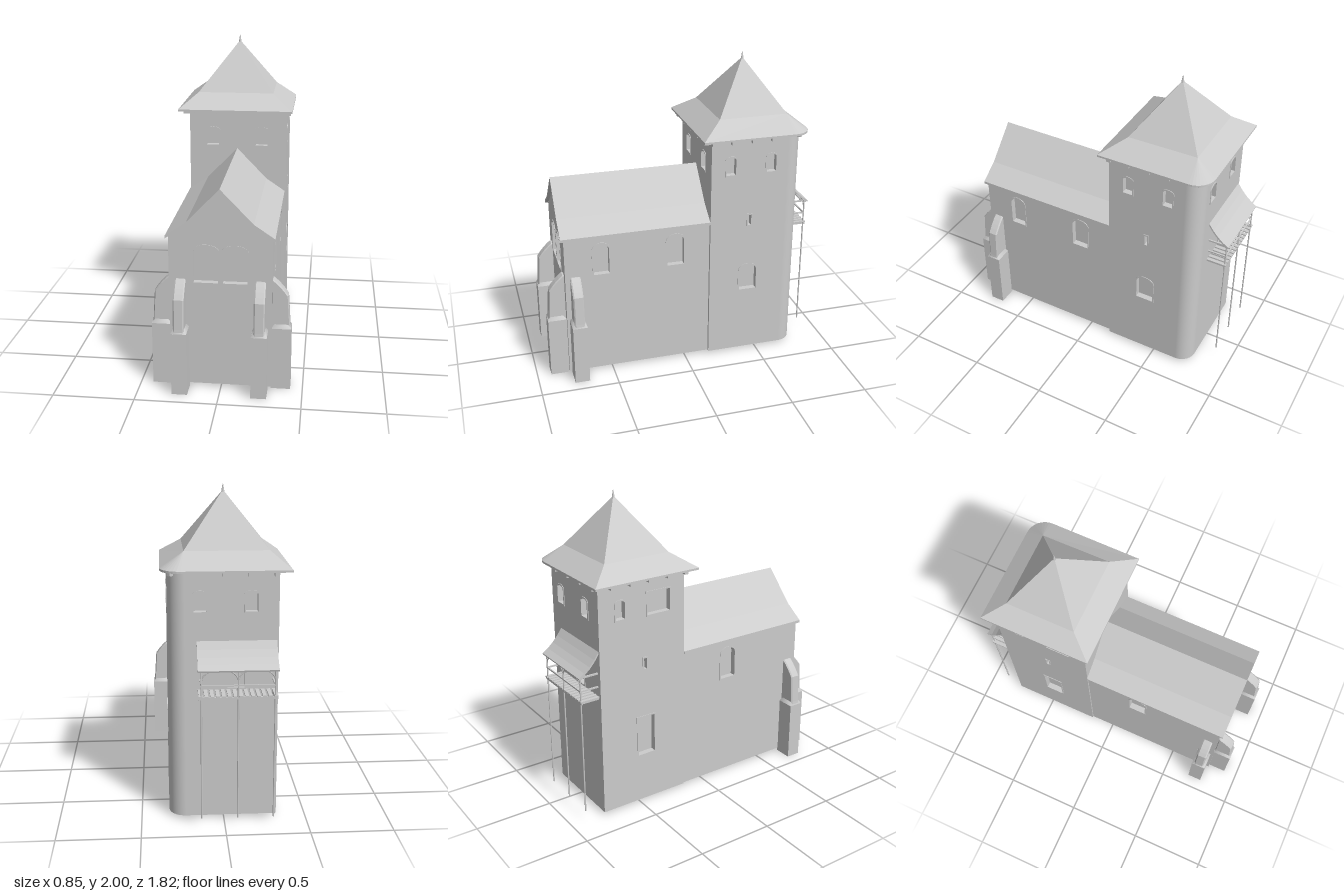
import * as THREE from 'three';

const mat = new THREE.MeshStandardMaterial({ color: 0xcccccc, side: THREE.DoubleSide });

function add(parent, name, geo, x = 0, y = 0, z = 0) {
  const m = new THREE.Mesh(geo, mat);
  m.name = name;
  m.position.set(x, y, z);
  parent.add(m);
  return m;
}
const box = (parent, name, w, h, d, x, y, z) => add(parent, name, new THREE.BoxGeometry(w, h, d), x, y, z);

// outline of an opening: straight sides with an arched (or flat) head
function opening(cls, u, v0, v1, w, rise, inset = 0) {
  const s = new cls(), h = w / 2 - inset, spring = v1 - rise;
  s.moveTo(u - h, v0 + inset);
  s.lineTo(u + h, v0 + inset);
  if (rise > 0) {
    s.lineTo(u + h, spring);
    s.absellipse(u, spring, h, rise - inset, 0, Math.PI, false, 0);
  } else {
    s.lineTo(u + h, v1 - inset);
    s.lineTo(u - h, v1 - inset);
  }
  s.closePath();
  return s;
}

// thin wall facing local +z, with framed, recessed openings [u, bottom, top, width, rise]
function wall(parent, name, points, openings, x, z, turn) {
  const g = new THREE.Group();
  g.name = name;
  g.position.set(x, 0, z);
  g.rotation.y = turn;
  parent.add(g);
  const shape = new THREE.Shape(points.map(p => new THREE.Vector2(...p)));
  for (const o of openings) {
    shape.holes.push(opening(THREE.Path, ...o));
    const frame = opening(THREE.Shape, ...o);
    frame.holes.push(opening(THREE.Path, ...o, 0.009));
    const geo = new THREE.ExtrudeGeometry(frame, { depth: 0.039, bevelEnabled: false, curveSegments: 8 });
    add(g, 'windowFrame', geo, 0, 0, -0.035);
    add(g, 'windowPane', new THREE.ShapeGeometry(opening(THREE.Shape, ...o), 8), 0, 0, -0.034);
  }
  add(g, 'wallFace', new THREE.ShapeGeometry(shape, 8));
}
const rect = (u0, u1, v0, v1) => [[u0, v0], [u1, v0], [u1, v1], [u0, v1]];

function addNave(root) {
  const g = new THREE.Group();
  g.name = 'nave';
  root.add(g);
  const gable = [[-0.31, 0.02], [0.31, 0.02], [0.31, 0.975], [0.19, 1.06], [0, 1.26], [-0.19, 1.06], [-0.31, 0.975]];
  wall(g, 'frontGable', gable, [[-0.088, 0.68, 0.93, 0.165, 0.045], [0.088, 0.68, 0.93, 0.165, 0.045]], 0, 0.79, 0);
  wall(g, 'leftWall', rect(-0.79, 0.16, 0.02, 0.98),
    [[-0.555, 0.7, 0.93, 0.12, 0.05], [-0.068, 0.7, 0.93, 0.13, 0.05]], 0.31, 0, Math.PI / 2);
  wall(g, 'rightWall', rect(-0.16, 0.79, 0.02, 0.98), [[0.2, 0.7, 0.93, 0.13, 0.05]], -0.31, 0, -Math.PI / 2);

  // gable roof with flared eaves
  const top = [[-0.325, 0.985], [-0.2, 1.07], [0, 1.278], [0.2, 1.07], [0.325, 0.985]];
  const under = top.map(([x, y]) => [x, y - 0.018]).reverse();
  const s = new THREE.Shape([...top, ...under].map(p => new THREE.Vector2(...p)));
  add(g, 'naveRoof', new THREE.ExtrudeGeometry(s, { depth: 0.97, bevelEnabled: false }), 0, 0, -0.16);
}

// two-stage buttress projecting along local +z from the wall plane
function addButtress(root, x, z, turn) {
  const g = new THREE.Group();
  g.name = 'buttress';
  g.position.set(x, 0, z);
  g.rotation.y = turn;
  root.add(g);
  box(g, 'buttressBase', 0.095, 0.4, 0.12, 0, 0.2, 0.06);
  const s = new THREE.Shape();
  s.moveTo(0, 0.4);
  s.lineTo(0.115, 0.4);
  s.lineTo(0.112, 0.425);
  s.lineTo(0.1, 0.61);
  s.quadraticCurveTo(0.06, 0.67, 0.01, 0.71);
  s.lineTo(0, 0.71);
  const geo = new THREE.ExtrudeGeometry(s, { depth: 0.05, bevelThickness: 0.008, bevelSize: 0.006, bevelOffset: -0.006, bevelSegments: 1, curveSegments: 4 });
  add(g, 'buttressUpper', geo, 0.025, 0, 0).rotation.y = -Math.PI / 2;
  // sloped shoulder between the stages
  const shoulder = new THREE.CylinderGeometry(0.046, 0.067, 0.025, 4, 1, true, Math.PI / 4);
  add(g, 'buttressShoulder', shoulder.toNonIndexed(), 0, 0.4125, 0.06).scale.z = 1.25;
  shoulder.computeVertexNormals();
}

function addTower(root) {
  const g = new THREE.Group();
  g.name = 'tower';
  root.add(g);
  const [y0, y1] = [0.02, 1.54];
  const upper = (a, b, w) => [[a, 1.29, 1.425, w, 0.025], [b, 1.29, 1.425, w, 0.025]];
  wall(g, 'frontWall', rect(-0.32, 0.33, y0, y1), upper(-0.165, 0.165, 0.1), 0, -0.16, 0);
  wall(g, 'backWall', rect(-0.23, 0.32, y0, y1), [...upper(-0.14, 0.16, 0.09), [0.07, 0.83, 1.03, 0.12, 0.03]], 0, -0.77, Math.PI);
  wall(g, 'leftWall', rect(0.16, 0.67, y0, y1),
    [...upper(0.29, 0.56, 0.08), [0.425, 0.93, 1.02, 0.038, 0], [0.425, 0.46, 0.66, 0.135, 0.05]], 0.33, 0, Math.PI / 2);
  wall(g, 'rightWall', rect(-0.77, -0.16, y0, y1),
    [[-0.62, 1.29, 1.425, 0.08, 0.025], [-0.35, 1.28, 1.44, 0.18, 0], [-0.45, 0.93, 1.02, 0.038, 0], [-0.45, 0.34, 0.62, 0.14, 0]],
    -0.32, 0, -Math.PI / 2);
  add(g, 'roundedCorner', new THREE.CylinderGeometry(0.1, 0.1, y1 - y0, 10, 1, true, Math.PI / 2, Math.PI / 2),
    0.23, (y0 + y1) / 2, -0.67);

  // rafter ends under the eaves
  for (const x of [-0.3, -0.15, 0, 0.15, 0.3]) {
    box(g, 'rafterEnd', 0.025, 0.028, 0.05, x, 1.522, -0.14);
    if (x < 0.2) box(g, 'rafterEnd', 0.025, 0.028, 0.035, x, 1.522, -0.785);
  }
  for (const z of [-0.17, -0.295, -0.43, -0.56, -0.69]) {
    box(g, 'rafterEnd', 0.045, 0.028, 0.025, -0.34, 1.522, z);
    if (z > -0.65) box(g, 'rafterEnd', 0.03, 0.028, 0.025, 0.343, 1.522, z);
  }
  const cornerRafter = box(g, 'rafterEnd', 0.025, 0.028, 0.04, 0.305, 1.522, -0.745);
  cornerRafter.rotation.y = -Math.PI / 4;
  addTowerRoof(g);
}

// flared pyramid roof: eave loop, break loop, apex
function addTowerRoof(g) {
  const eave = [[-0.39, -0.1], [-0.39, -0.82]], brk = [[-0.27, -0.24], [-0.27, -0.69]];
  for (let i = 0; i <= 8; i++) {
    const a = (i / 8) * Math.PI / 2;
    eave.push([0.25 + 0.12 * Math.sin(a), -0.7 - 0.12 * Math.cos(a)]);
    brk.push([0.23, -0.69]);
  }
  eave.push([0.37, -0.1]);
  brk.push([0.235, -0.24]);
  const apex = [-0.012, 1.965, -0.465], pos = [], n = eave.length;
  const at = (loop, i, y) => [loop[i % n][0], y, loop[i % n][1]];
  const tri = (...p) => pos.push(...p.flat());
  for (let i = 0; i < n; i++) {
    const b0 = at(eave, i, 1.533), b1 = at(eave, i + 1, 1.533);
    const e0 = at(eave, i, 1.546), e1 = at(eave, i + 1, 1.546);
    const k0 = at(brk, i, 1.64), k1 = at(brk, i + 1, 1.64);
    tri(b1, b0, e0); tri(b1, e0, e1);
    tri(e1, e0, k0);
    if (k0[0] !== k1[0] || k0[2] !== k1[2]) { tri(e1, k0, k1); tri(k1, k0, apex); }
    tri(b0, b1, [-0.012, 1.533, -0.465]);
  }
  const geo = new THREE.BufferGeometry();
  geo.setAttribute('position', new THREE.Float32BufferAttribute(pos, 3));
  geo.computeVertexNormals();
  add(g, 'towerRoof', geo);
  add(g, 'finial', new THREE.CylinderGeometry(0.002, 0.011, 0.055, 8), -0.012, 1.9725, -0.465);
}

function addBalcony(root) {
  const g = new THREE.Group();
  g.name = 'balcony';
  root.add(g);
  const posts = [-0.29, -0.075, 0.14], mid = -0.075, zOut = -0.89;
  for (const x of posts) {
    add(g, 'post', new THREE.CylinderGeometry(0.005, 0.005, 0.92, 8), x, 0.52, zOut);
    box(g, 'floorJoist', 0.012, 0.012, 0.125, x, 0.813, -0.83);
    box(g, 'tieBeam', 0.01, 0.01, 0.125, x, 0.978, -0.83);
    // curved braces under the eave beam
    for (const s of [-1, 1]) {
      if (Math.abs(x + s * 0.05 - mid) > 0.22) continue;
      const c = new THREE.QuadraticBezierCurve3(new THREE.Vector3(x, 0.92, zOut), new THREE.Vector3(x + s * 0.01, 0.965, zOut), new THREE.Vector3(x + s * 0.05, 0.975, zOut));
      add(g, 'brace', new THREE.TubeGeometry(c, 5, 0.004, 5));
    }
  }
  for (let i = 0; i < 14; i++) box(g, 'floorBoard', 0.022, 0.008, 0.13, -0.295 + i * 0.0338, 0.825, -0.835);
  box(g, 'floorBeam', 0.46, 0.014, 0.012, mid, 0.814, zOut);
  box(g, 'eaveBeam', 0.46, 0.012, 0.012, mid, 0.978, zOut);
  box(g, 'frontRail', 0.44, 0.009, 0.009, mid, 0.89, zOut);
  for (const x of [posts[0], posts[2]]) box(g, 'sideRail', 0.009, 0.009, 0.12, x, 0.89, -0.83);

  // lean-to roof with a slight sag, profile in (outward distance, y)
  const s = new THREE.Shape();
  s.moveTo(0, 1.125);
  s.quadraticCurveTo(0.06, 1.03, 0.138, 0.985);
  s.lineTo(0.135, 0.975);
  s.quadraticCurveTo(0.055, 1.02, 0, 1.108);
  const geo = new THREE.ExtrudeGeometry(s, { depth: 0.47, bevelEnabled: false, curveSegments: 4 });
  add(g, 'balconyRoof', geo, -0.31, 0, -0.77).rotation.y = Math.PI / 2;
  for (const x of posts) {
    const c = new THREE.LineCurve3(new THREE.Vector3(x, 1.09, -0.775), new THREE.Vector3(x, 0.975, -0.875));
    add(g, 'rafter', new THREE.TubeGeometry(c, 1, 0.006, 4));
  }
}

export function createModel() {
  const root = new THREE.Group();
  root.name = 'fortifiedChurch';
  addNave(root);
  for (const s of [-1, 1]) {
    addButtress(root, s * 0.24, 0.79, 0);
    addButtress(root, s * 0.305, 0.725, s * Math.PI / 2);
  }
  addTower(root);
  addBalcony(root);
  // the lean-to profile runs outward along -z
  return root;
}
